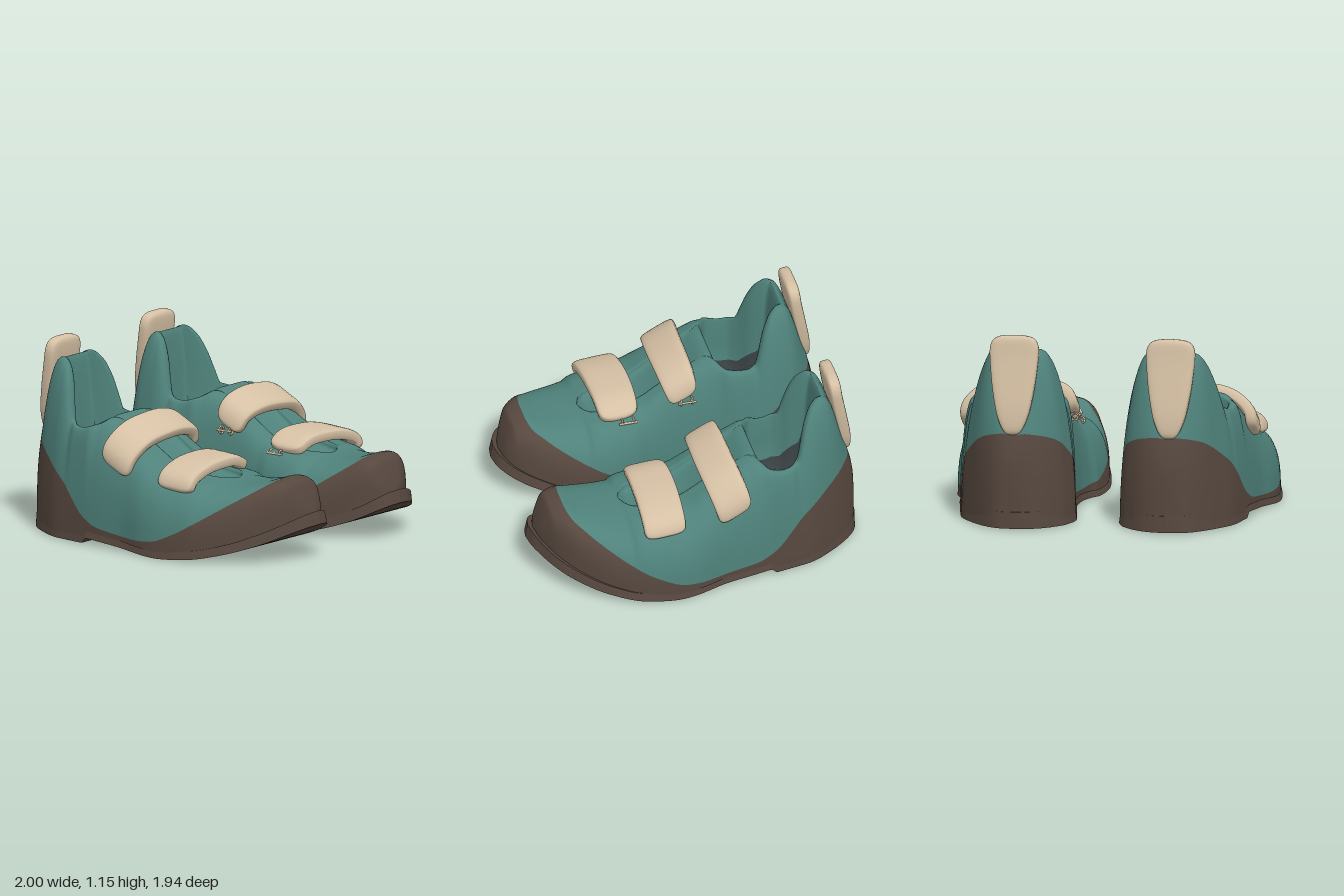
import * as THREE from 'three';
import { toCreasedNormals } from 'three/addons/utils/BufferGeometryUtils.js';

const mat = (name, color) => {
  const m = new THREE.MeshStandardMaterial({ color });
  m.name = name;
  return m;
};
const lerp = THREE.MathUtils.lerp;

// Smooth monotone interpolation through [x, value] pairs
function curve(p) {
  const n = p.length;
  const d = (i) => (p[i + 1][1] - p[i][1]) / (p[i + 1][0] - p[i][0]);
  const m = p.map((_, i) => {
    if (i === 0) return d(0);
    if (i === n - 1) return d(n - 2);
    const a = d(i - 1), b = d(i);
    return a * b <= 0 ? 0 : (2 * a * b) / (a + b);
  });
  return (x) => {
    if (x <= p[0][0]) return p[0][1];
    if (x >= p[n - 1][0]) return p[n - 1][1];
    let i = 0;
    while (x > p[i + 1][0]) i++;
    const h = p[i + 1][0] - p[i][0], t = (x - p[i][0]) / h, t2 = t * t, t3 = t2 * t;
    return p[i][1] * (2 * t3 - 3 * t2 + 1) + p[i + 1][1] * (3 * t2 - 2 * t3)
      + h * (m[i] * (t3 - 2 * t2 + t) + m[i + 1] * (t3 - t2));
  };
}

// Sole outline, outer and inner edge
const outer = curve([[-1, .46], [-.995, .525], [-.98, .57], [-.95, .615], [-.9, .665], [-.8, .74], [-.65, .82], [-.5, .85],
  [-.3, .885], [-.1, .91], [.1, .96], [.2, .97], [.4, .95], [.6, .88], [.8, .75], [.9, .645], [.96, .545], [.985, .485], [1, .4]]);
const inner = curve([[-1, .46], [-.995, .4], [-.98, .345], [-.95, .29], [-.9, .235], [-.8, .165], [-.65, .13], [-.5, .15],
  [-.3, .175], [-.1, .18], [.1, .155], [.2, .115], [.4, .087], [.6, .11], [.8, .175], [.9, .225], [.96, .28], [.985, .325], [1, .4]]);
const bottom = curve([[-1, .005], [-.43, .003], [-.39, .035], [-.2, .025], [0, .01], [.2, 0], [.4, .012], [.6, .05], [.8, .115], [1, .215]]);
const soleThick = curve([[-1, .1], [-.43, .1], [-.37, .05], [.4, .05], [1, .08]]);
// Upper: rim height, middle height, rim position, wall roundness, colour border
const rimY = curve([[-1, .25], [-.985, .42], [-.95, .58], [-.9, .74], [-.86, .88], [-.83, .97], [-.79, 1.035], [-.75, 1.045],
  [-.7, 1.01], [-.65, .91], [-.62, .8], [-.59, .7], [-.5, .675], [-.4, .7], [-.33, .74], [-.2, .69], [-.1, .635], [0, .57],
  [.1, .51], [.25, .47], [.4, .45], [.55, .44], [.7, .46], [.8, .485], [.87, .47], [.91, .4], [.955, .27]]);
const midY = curve([[-.765, 1.043], [-.745, .85], [-.725, .45], [-.69, .24], [-.41, .22], [-.385, .6], [-.335, .755],
  [-.2, .66], [-.1, .595], [.1, .47], [.38, .41], [.45, .447]]);
const rimHalf = curve([[-1, 0], [-.93, .03], [-.85, .1], [-.77, .14], [-.72, .155], [-.65, .195], [-.6, .24], [-.5, .295],
  [-.42, .28], [-.34, .19], [-.28, .16], [.3, .15], [.38, .135], [.42, .095], [.438, .05], [.445, 0], [1, 0]]);
const rimMid = curve([[-1, .465], [-.7, .465], [-.45, .505], [-.28, .5], [.3, .48], [.6, .455], [1, .42]]);
const roundness = curve([[-1, .65], [-.88, .85], [-.72, 1.15], [-.55, 1.1], [-.3, .9], [0, .8], [.3, .75], [.8, .6], [1, .55]]);
const border = curve([[-1, .6], [-.95, .57], [-.88, .54], [-.7, .42], [-.6, .345], [-.42, .16], [-.3, .11], [0, .085],
  [.15, .095], [.3, .15], [.45, .235], [.6, .335], [.7, .405], [.8, .49], [.84, .6], [1, .6]]);

// Skin a row of point rings; slot(i, j) gives the material index; side -1 mirrors in z
function loft(rings, side, closed, slot = () => 0) {
  const n = rings[0].length, cols = closed ? n : n - 1, sets = [[], [], []];
  for (let i = 0; i < rings.length - 1; i++) {
    for (let j = 0; j < cols; j++) {
      const a = i * n + j, d = i * n + (j + 1) % n, b = a + n, c = d + n;
      sets[slot(i, j)].push(...(side > 0 ? [a, b, c, a, c, d] : [a, c, b, a, d, c]));
    }
  }
  const g = new THREE.BufferGeometry();
  g.setAttribute('position', new THREE.Float32BufferAttribute(
    rings.flatMap((r) => r.flatMap(([x, y, z]) => [x, y, z * side])), 3));
  g.setIndex(sets.flat());
  let start = 0;
  sets.forEach((s, k) => {
    if (s.length) g.addGroup(start, s.length, k);
    start += s.length;
  });
  g.computeVertexNormals();
  return g;
}

const STATIONS = 200, BROWN = 8, TEAL = 14, INSIDE = 10;
const station = (i) => -Math.cos((i / STATIONS) * Math.PI);

function soleGeometry(side) {
  const rings = [];
  for (let i = 0; i <= STATIONS; i++) {
    const x = station(i), o = outer(x), n = inner(x), b = bottom(x), t = b + soleThick(x);
    const lip = Math.min(.012, (o - n) / 4), back = x > .9 ? .015 * (x - .9) / .1 : 0;
    rings.push([[x, b, o], [x - back, t, o - lip], [x - back, t, n + lip], [x, b, n]]);
  }
  return toCreasedNormals(loft(rings, side, true), .7);
}

function upperGeometry(side) {
  const rings = [], xs = [];
  for (let i = 0; i <= STATIONS; i++) {
    const t = station(i), x = t * .974 - .019;
    const c = (outer(t) + inner(t)) / 2, half = (outer(t) - inner(t)) / 2 * .985;
    const base = bottom(x) + .04, top = rimY(x), e = roundness(x);
    const r = Math.min(rimHalf(x), half * .8), rc = lerp(c, rimMid(x), Math.min(1, half / .2));
    const mid = x < -.765 || x > .45 ? top : midY(x), inset = Math.min(.03, r * .3);
    const f = Math.min(1, Math.max(.02, (border(x) - base) / (top - base)));
    const split = Math.asin(Math.pow(f, 1 / e));
    // One side: outer wall, rolled rim, then a rounded hollow down to the floor
    const wall = (s) => {
      const pts = [];
      for (let j = 0; j <= BROWN + TEAL; j++) {
        const a = j <= BROWN ? split * j / BROWN : lerp(split, Math.PI / 2, (j - BROWN) / TEAL);
        const k = Math.pow(Math.max(0, Math.cos(a)), e);
        pts.push([x, base + (top - base) * Math.pow(Math.sin(a), e), lerp(rc + s * r, c + s * half, k)]);
      }
      pts.push([x, top + inset * .2, rc + s * (r - inset * .5)]);
      for (let j = 0; j < INSIDE; j++) {
        const a = (j / INSIDE) * Math.PI / 2;
        pts.push([x, lerp(top, mid, Math.pow(Math.sin(a), .6)), rc + s * (r - inset) * Math.pow(Math.cos(a), .5)]);
      }
      return pts;
    };
    rings.push([...wall(1), [x, mid, rc], ...wall(-1).reverse()]);
    xs.push(x);
  }
  const n = rings[0].length;
  return loft(rings, side, false, (i, j) => {
    const k = Math.min(j, n - 2 - j), x = (xs[i] + xs[i + 1]) / 2;
    if (k < BROWN || border(x) >= rimY(x)) return 0;
    return k >= BROWN + TEAL + 5 && x > -.72 && x < -.395 ? 2 : 1;
  });
}

// Padded band along a path, with rounded edges and ends
function bandGeometry(points, across, widths, thick, side) {
  const path = new THREE.CatmullRomCurve3(points.map((p) => new THREE.Vector3(...p)));
  const w = new THREE.Vector3(...across).normalize(), N = 36, M = 24, rings = [];
  const width = curve(widths);
  const soft = (v) => Math.sign(v) * Math.pow(Math.abs(v), .45);
  for (let i = 0; i <= N; i++) {
    const u = (1 - Math.cos((i / N) * Math.PI)) / 2, p = path.getPoint(u);
    const n = new THREE.Vector3().crossVectors(w, path.getTangent(u)).normalize();
    const end = Math.pow(Math.max(0, 1 - Math.pow(Math.abs(2 * u - 1), 14)), .4);
    rings.push(Array.from({ length: M }, (_, j) => {
      const a = (j / M) * Math.PI * 2;
      return p.clone().addScaledVector(w, soft(Math.cos(a)) * width(u) / 2 * end)
        .addScaledVector(n, soft(Math.sin(a)) * thick / 2 * end).toArray();
    }));
  }
  return loft(rings, side, true);
}

function createShoe(side, mats) {
  const shoe = new THREE.Group();
  const add = (name, geo, m) => {
    const mesh = new THREE.Mesh(geo, m);
    mesh.name = name;
    shoe.add(mesh);
    return mesh;
  };
  add('sole', soleGeometry(side), mats.rubber);
  add('upper', upperGeometry(side), [mats.rubber, mats.fabric, mats.lining]);

  // Two closing straps and the pull tab at the heel
  add('ankleStrap', bandGeometry([[-.175, .475, .862], [-.155, .575, .845], [-.125, .665, .74], [-.11, .7, .57],
    [-.11, .7, .38], [-.12, .66, .26], [-.145, .56, .215]], [.19, -.1, 0], [[0, .23], [.5, .225], [1, .2]], .075, side), mats.strap);
  add('toeStrap', bandGeometry([[.255, .395, .85], [.255, .465, .815], [.25, .515, .68], [.245, .53, .5],
    [.245, .52, .36], [.245, .465, .24]], [.26, -.02, 0], [[0, .25], [.5, .26], [1, .24]], .075, side), mats.strap);
  add('heelTab', bandGeometry([[-.935, .56, .47], [-.925, .7, .47], [-.895, .87, .47], [-.865, 1.03, .47], [-.85, 1.15, .47]],
    [0, 0, 1], [[0, .1], [.25, .2], [.55, .27], [.8, .295], [1, .26]], .08, side), mats.strap);

  // Small wire loops holding the inner strap ends
  [[-.155, .545, .21], [.2, .445, .235]].forEach(([x, y, z]) => {
    [-.035, .035].forEach((dx) => {
      const ring = add('strapLoop', new THREE.TorusGeometry(.022, .006, 6, 14), mats.strap);
      ring.rotation.y = Math.PI / 2;
      ring.position.set(x + dx, y, side * z);
    });
    const bar = add('strapBar', new THREE.CylinderGeometry(.007, .007, .11, 8), mats.strap);
    bar.rotation.z = Math.PI / 2;
    bar.position.set(x, y, side * (z - .02));
  });
  return shoe;
}

export function createModel() {
  const mats = {
    rubber: mat('brownRubber', 0x57483f),
    fabric: mat('tealFabric', 0x4f827b),
    lining: mat('greyInsole', 0x3c4445),
    strap: mat('beigeStrap', 0xd5c0a4),
  };
  const model = new THREE.Group();
  model.name = 'shoes';
  [['nearShoe', 1], ['farShoe', -1]].forEach(([name, side]) => {
    const shoe = createShoe(side, mats);
    shoe.name = name;
    model.add(shoe);
  });
  return model;
}
